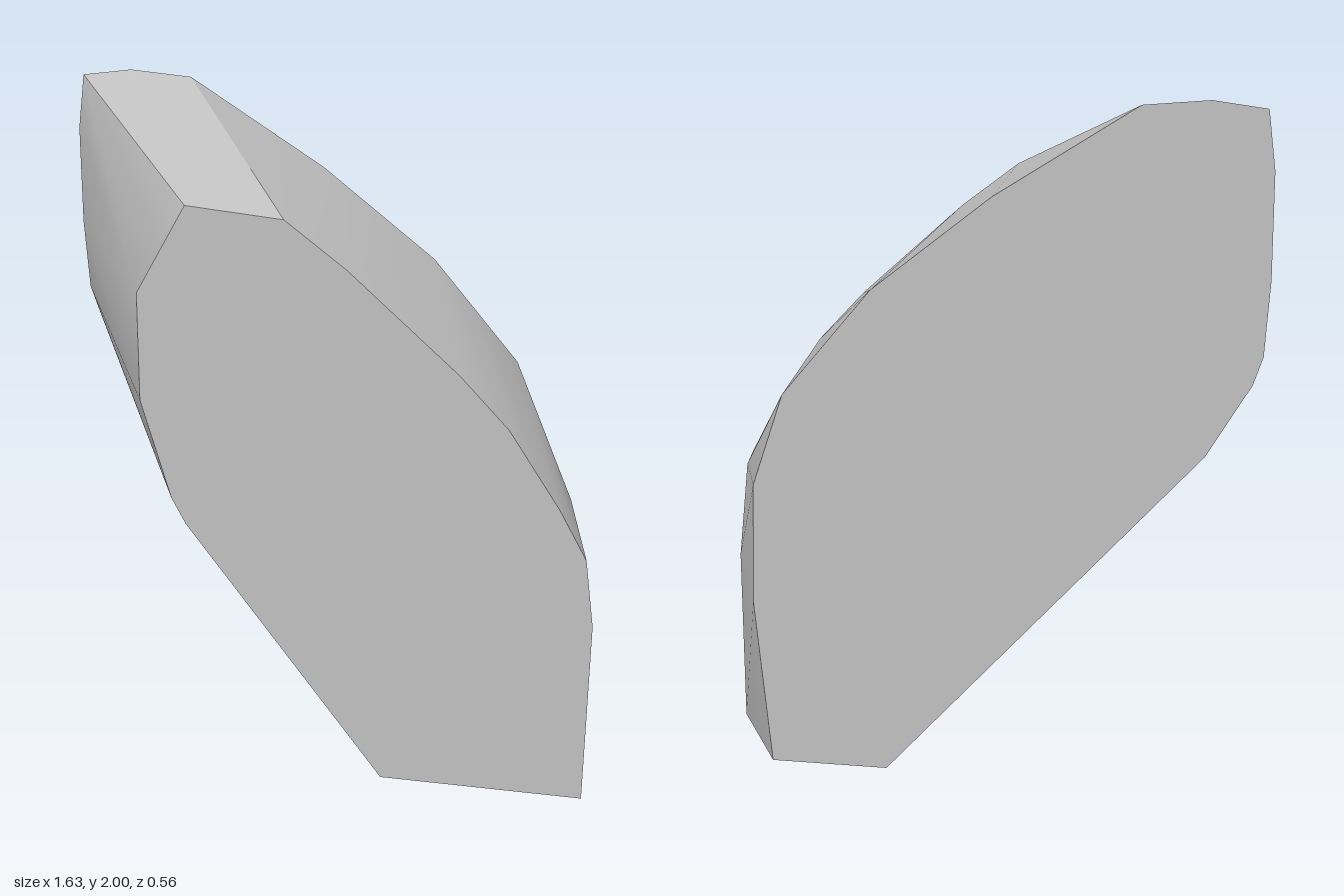
import * as THREE from 'three';
import { toCreasedNormals } from 'three/addons/utils/BufferGeometryUtils.js';
import { ConvexGeometry } from 'three/addons/geometries/ConvexGeometry.js';

const DEPTH = 0.28; // half thickness

// Outline of the front face, counter-clockwise from the base
const front = [
  [0.21, 0], [0.815, 0], [0.812, 0.59], [0.782, 0.8], [0.7, 0.95], [0.55, 1.18],
  [0.41, 1.33], [0.1, 1.61], [-0.07, 1.74], [-0.34, 1.765], [-0.485, 1.51],
  [-0.49, 1.19], [-0.41, 0.89], [-0.37, 0.81],
];

// Outline of the back face, leaning over to the -x side
const back = [
  [0.25, 0], [0.6, 0], [0.64, 0.52], [0.625, 0.885], [0.53, 1.16], [0.27, 1.47],
  [-0.066, 1.735], [-0.46, 1.985], [-0.64, 2], [-0.787, 1.98], [-0.81, 1.82],
  [-0.815, 1.53], [-0.805, 1.32], [-0.78, 1.24], [-0.66, 1.03],
];

// Gentle outward bow of the +x wall halfway through
const bow = [[0.762, 0], [0.757, 0.55], [0.722, 0.85]];

function ring(outline, z) {
  return outline.map(([x, y]) => new THREE.Vector3(x, y, z));
}

export function createModel() {
  const group = new THREE.Group();
  group.name = 'facetedBlock';

  const stone = new THREE.MeshStandardMaterial({ color: 0xbfbfbf });
  stone.name = 'light grey';

  // Solid skin stretched over the two faces and the bow
  const hull = new ConvexGeometry([
    ...ring(front, DEPTH), ...ring(bow, 0), ...ring(back, -DEPTH),
  ]);
  const body = new THREE.Mesh(toCreasedNormals(hull, 0.45), stone);
  body.name = 'body';
  group.add(body);
  return group;
}
